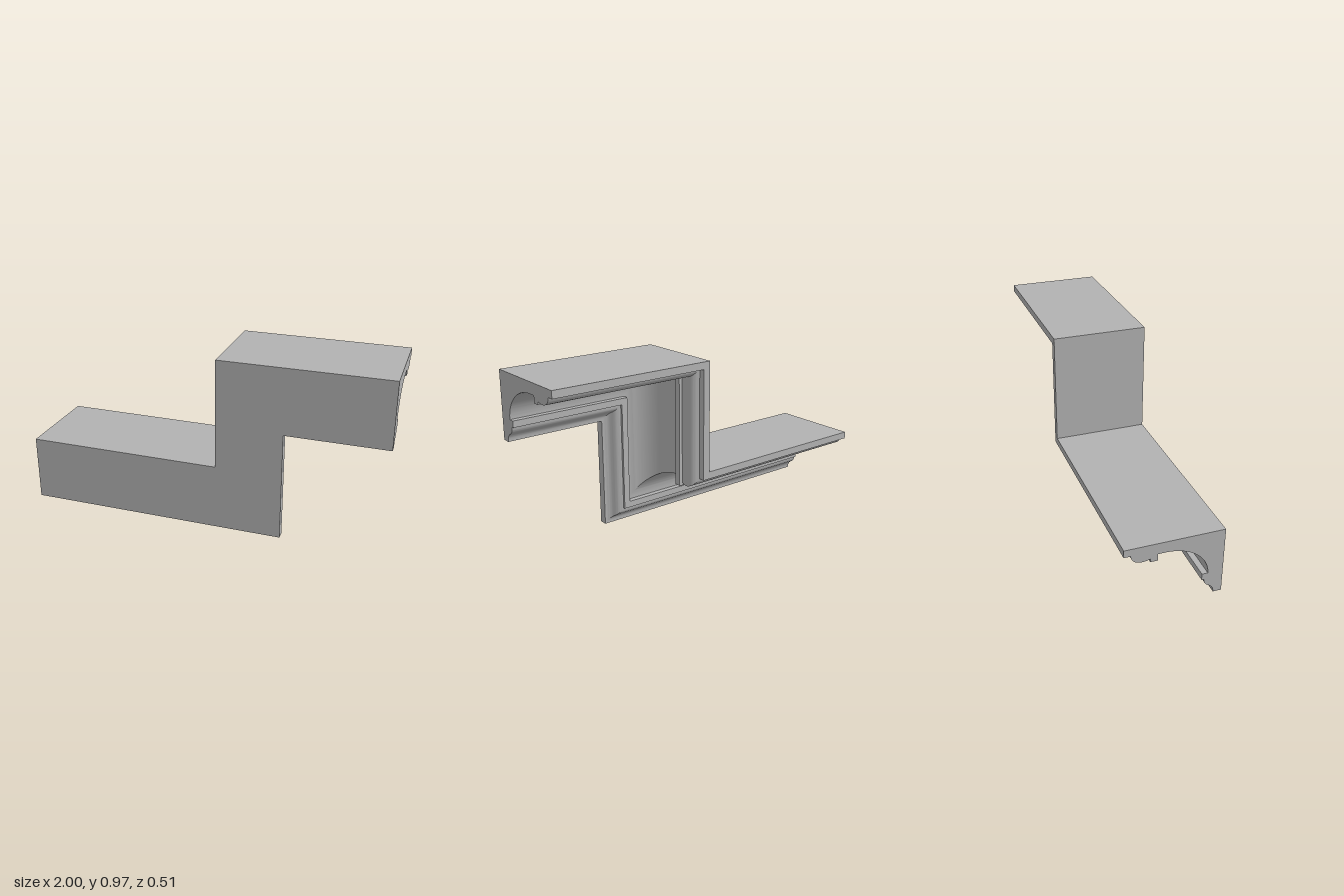
import * as THREE from 'three';
import { toCreasedNormals } from 'three/addons/utils/BufferGeometryUtils.js';

const HALF_DEPTH = 0.257;
const TOP = 0.97;   // top of the upper run
const LOW = 0.365;  // top of the lower run
const RISE = 0.085; // x of the riser's outer face

// Cornice cross-section: u runs from front to back, y is the height on the upper run
function corniceProfile() {
  const s = new THREE.Shape();
  s.moveTo(-HALF_DEPTH, 0.605);
  s.lineTo(-0.213, 0.605);
  s.bezierCurveTo(-0.213, 0.665, -0.16, 0.64, -0.16, 0.695); // ogee
  s.lineTo(-0.147, 0.695);
  s.lineTo(-0.147, 0.73);
  s.lineTo(-0.178, 0.73);
  s.absellipse(0.05, 0.73, 0.228, 0.18, Math.PI, Math.PI / 2, true); // large cove
  s.lineTo(0.087, 0.91);
  s.lineTo(0.087, 0.873);
  s.lineTo(0.125, 0.873);
  s.lineTo(0.125, 0.891);
  s.bezierCurveTo(0.16, 0.876, 0.217, 0.879, 0.223, 0.93); // small cove
  s.lineTo(HALF_DEPTH, 0.93);
  s.lineTo(HALF_DEPTH, TOP);
  s.lineTo(-HALF_DEPTH, TOP);
  return s.getPoints(20);
}

// Sweep the profile along the stepped path with mitred corners
function sweepCornice(profile) {
  const rings = [
    d => [-1, LOW - d],
    d => [RISE + d, LOW - d],
    d => [RISE + d, TOP - d],
    d => [1, TOP - d],
  ].map(at => profile.map(p => [...at(TOP - p.y), -p.x]));

  const positions = [];
  const tri = (a, b, c) => positions.push(...a, ...b, ...c);

  for (let k = 0; k < rings.length - 1; k++) {
    for (let i = 0; i < profile.length; i++) {
      const j = (i + 1) % profile.length;
      tri(rings[k][i], rings[k][j], rings[k + 1][j]);
      tri(rings[k][i], rings[k + 1][j], rings[k + 1][i]);
    }
  }

  // End caps
  const first = rings[0], last = rings[rings.length - 1];
  for (const [a, b, c] of THREE.ShapeUtils.triangulateShape(profile.slice(), [])) {
    tri(last[a], last[b], last[c]);
    tri(first[a], first[c], first[b]);
  }

  const geometry = new THREE.BufferGeometry();
  geometry.setAttribute('position', new THREE.Float32BufferAttribute(positions, 3));
  return toCreasedNormals(geometry, 0.5);
}

export function createModel() {
  const plaster = new THREE.MeshStandardMaterial({ color: 0xb2b2b2 });
  plaster.name = 'grey plaster';

  const cornice = new THREE.Mesh(sweepCornice(corniceProfile()), plaster);
  cornice.name = 'steppedCornice';

  const group = new THREE.Group();
  group.name = 'steppedMoulding';
  group.add(cornice);
  return group;
}
